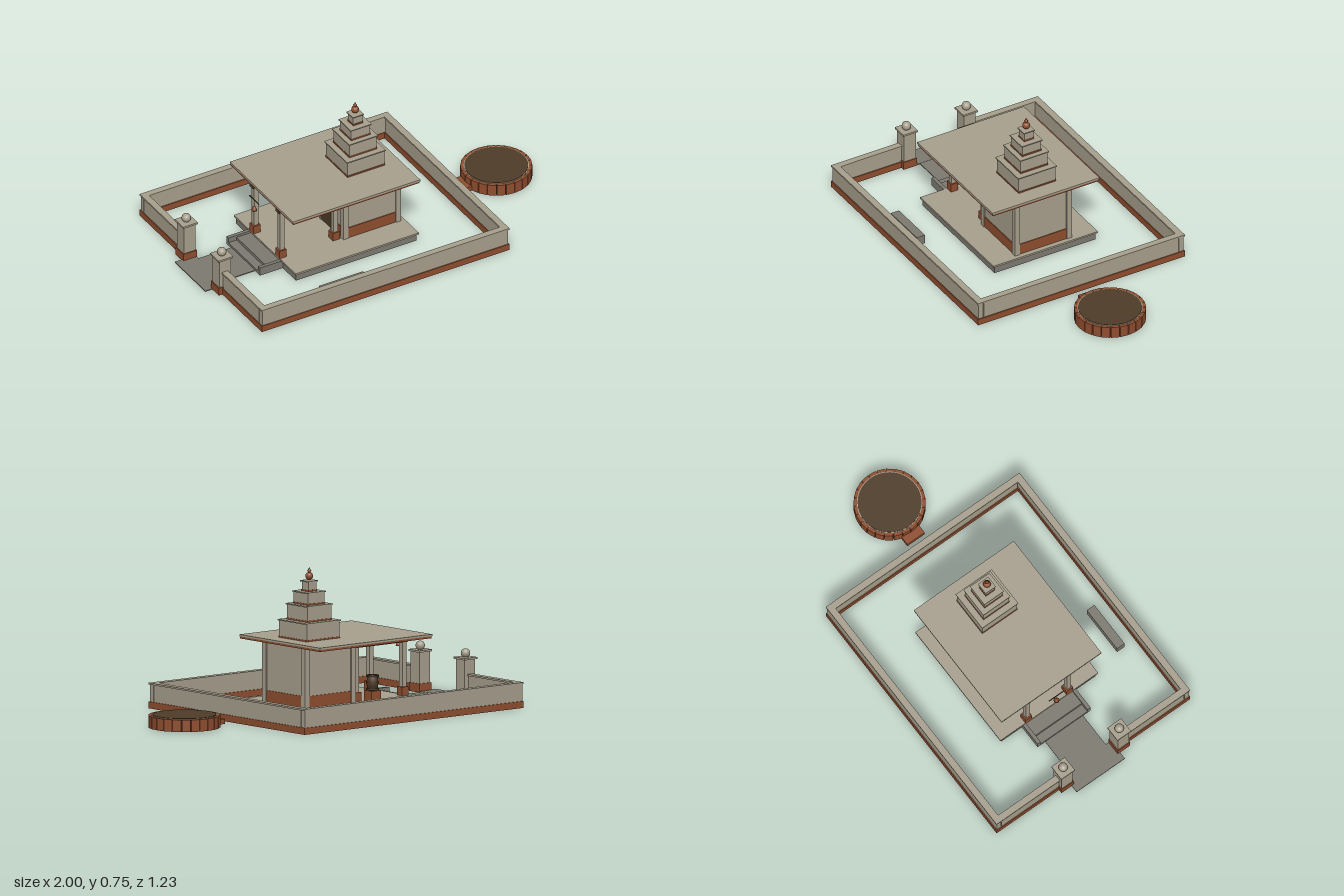
import * as THREE from 'three';

const mat = (name, color, side = THREE.FrontSide) => {
  const m = new THREE.MeshStandardMaterial({ color, side });
  m.name = name;
  return m;
};

export function createModel() {
  const stone = mat('pale stone', 0xa8a08e);
  const paving = mat('grey paving', 0x7d7a70);
  const clay = mat('red clay', 0x8f4e2f);
  const wood = mat('dark wood', 0x4e3c29);
  const root = new THREE.Group();
  root.name = 'shrineCourtyard';

  const add = (name, geo, m, x = 0, y = 0, z = 0, parent = root) => {
    const mesh = new THREE.Mesh(geo, m);
    mesh.name = name;
    mesh.position.set(x, y, z);
    parent.add(mesh);
    return mesh;
  };
  // box given by its lower and upper limits on each axis
  const box = (name, m, x0, x1, y0, y1, z0, z1, parent = root) =>
    add(name, new THREE.BoxGeometry(x1 - x0, y1 - y0, z1 - z0), m,
      (x0 + x1) / 2, (y0 + y1) / 2, (z0 + z1) / 2, parent);
  // box centred on x, z
  const block = (name, m, x, z, w, d, y0, y1, parent = root) =>
    box(name, m, x - w / 2, x + w / 2, y0, y1, z - d / 2, z + d / 2, parent);
  const lathe = (name, pts, m, x, y, z, seg = 20, parent = root) =>
    add(name, new THREE.LatheGeometry(pts.map(p => new THREE.Vector2(...p)), seg), m, x, y, z, parent);

  // courtyard wall: clay footing, stone body, overhanging coping
  const wall = (name, x0, x1, z0, z1) => {
    const g = new THREE.Group();
    g.name = name;
    root.add(g);
    const e = 0.005;
    box('footing', clay, x0 - e, x1 + e, 0, 0.035, z0 - e, z1 + e, g);
    box('wallBody', stone, x0, x1, 0.035, 0.123, z0, z1, g);
    box('coping', stone, x0 - e, x1 + e, 0.123, 0.132, z0 - e, z1 + e, g);
  };
  wall('frontWall', -0.932, 0.526, 0.583, 0.609);
  wall('backWall', -0.932, 0.526, -0.609, -0.583);
  wall('leftWall', 0.5, 0.526, -0.578, 0.578);
  wall('gateWallFront', -0.932, -0.906, 0.214, 0.578);
  wall('gateWallBack', -0.932, -0.906, -0.578, -0.214);

  // gate posts with ball tops
  for (const s of [-1, 1]) {
    const g = new THREE.Group();
    g.name = 'gatePost';
    root.add(g);
    const x = -0.918, z = s * 0.178;
    block('postFooting', clay, x, z, 0.08, 0.08, 0, 0.045, g);
    block('postShaft', stone, x, z, 0.07, 0.07, 0.045, 0.206, g);
    block('postCap', stone, x, z, 0.086, 0.086, 0.206, 0.216, g);
    add('postBall', new THREE.SphereGeometry(0.024, 20, 14), stone, x, 0.236, z, g);
  }

  // paving, bench
  box('gateSlab', paving, -1, -0.88, 0, 0.006, -0.153, 0.153);
  box('path', paving, -0.88, -0.68, 0, 0.005, -0.12, 0.12);
  box('bench', paving, -0.51, -0.25, 0, 0.05, 0.465, 0.513);

  // plinth and entrance steps
  box('plinthBase', paving, -0.55, 0.165, 0, 0.04, -0.3, 0.3);
  box('plinthSlab', stone, -0.558, 0.173, 0.04, 0.05, -0.31, 0.31);
  box('lowerStep', paving, -0.685, -0.637, 0, 0.017, -0.148, 0.148);
  box('upperStep', paving, -0.637, -0.55, 0, 0.034, -0.148, 0.148);
  for (const s of [-1, 1]) block('stepCheek', paving, -0.6175, s * 0.158, 0.135, 0.02, 0, 0.046);

  // sanctum with corner pilasters and a door towards the porch
  box('sanctumWalls', stone, -0.183, 0.143, 0.05, 0.36, -0.161, 0.161);
  box('sanctumBand', clay, -0.187, 0.147, 0.05, 0.11, -0.165, 0.165);
  for (const x of [-0.176, 0.136])
    for (const z of [-0.154, 0.154]) block('pilaster', stone, x, z, 0.03, 0.03, 0.05, 0.36);
  box('door', wood, -0.192, -0.184, 0.05, 0.26, -0.05, 0.05);
  for (const s of [-1, 1]) block('doorJamb', stone, -0.189, s * 0.056, 0.016, 0.012, 0.05, 0.26);
  box('doorLintel', stone, -0.197, -0.181, 0.26, 0.274, -0.065, 0.065);

  // porch columns and beams
  for (const z of [-0.13, 0.13]) {
    for (const x of [-0.538, -0.222]) {
      block('columnBase', clay, x, z, 0.042, 0.042, 0.05, 0.095);
      block('columnShaft', stone, x, z, 0.026, 0.026, 0.095, 0.325);
    }
    block('porchBeam', wood, -0.38, z, 0.36, 0.034, 0.325, 0.342);
    block('beamPacking', stone, -0.38, z, 0.35, 0.026, 0.342, 0.36);
  }

  // flat roof
  box('roofEdge', clay, -0.574, 0.174, 0.36, 0.371, -0.314, 0.314);
  box('roofSlab', stone, -0.577, 0.177, 0.371, 0.381, -0.317, 0.317);

  // stepped tower: half width, bottom, top
  const tx = -0.022;
  for (const [h, y0, y1] of [[0.109, 0.381, 0.475], [0.08, 0.475, 0.558], [0.056, 0.558, 0.623], [0.027, 0.623, 0.677]]) {
    block('towerBand', clay, tx, 0, 2 * h + 0.004, 2 * h + 0.004, y0, y0 + 0.008);
    block('towerTier', stone, tx, 0, 2 * h, 2 * h, y0 + 0.008, y1 - 0.006);
    block('towerCornice', stone, tx, 0, 2 * h + 0.011, 2 * h + 0.011, y1 - 0.006, y1);
  }
  add('finialBall', new THREE.SphereGeometry(0.02, 20, 14), clay, tx, 0.699, 0);
  lathe('finialTip', [[0, 0], [0.007, 0], [0.006, 0.006], [0.011, 0.011], [0.007, 0.016], [0, 0.031]], clay, tx, 0.714, 0);

  // bell hanging before the porch
  add('bellBar', new THREE.CylinderGeometry(0.003, 0.003, 0.095, 8), wood, -0.62, 0.347, 0).rotation.x = Math.PI / 2;
  add('bellCord', new THREE.CylinderGeometry(0.001, 0.001, 0.04, 6), wood, -0.62, 0.327, 0);
  lathe('bell', [[0, 0], [0.015, 0], [0.012, 0.008], [0.008, 0.02], [0, 0.026]], clay, -0.62, 0.283, 0);

  // barrel drum on a clay stand
  const dx = -0.267, dz = -0.21;
  block('drumStand', clay, dx, dz, 0.062, 0.062, 0.05, 0.11);
  lathe('drum', [[0, 0], [0.026, 0], [0.031, 0.04], [0.026, 0.08], [0, 0.08]], wood, dx, 0.11, dz, 18);
  for (const y of [0.116, 0.15, 0.184])
    add('drumHoop', new THREE.CylinderGeometry(0.034, 0.034, 0.008, 18), wood, dx, y, dz);

  // round brick well with a ring of bricks, rim and dark cover
  const well = new THREE.Group();
  well.name = 'well';
  well.position.x = 0.815;
  root.add(well);
  add('wellCore', new THREE.CylinderGeometry(0.172, 0.172, 0.06, 48), clay, 0, 0.03, 0, well);
  const n = 24;
  for (let i = 0; i < n; i++) {
    const a = (i + 0.5) / n * Math.PI * 2;
    const brick = add('wellBrick', new THREE.BoxGeometry(0.03, 0.062, 0.044), clay,
      Math.cos(a) * 0.168, 0.031, -Math.sin(a) * 0.168, well);
    brick.rotation.y = a;
  }
  add('wellRim', new THREE.CylinderGeometry(0.167, 0.167, 0.003, 48), stone, 0, 0.0625, 0, well);
  add('wellCover', new THREE.CylinderGeometry(0.163, 0.163, 0.006, 48), wood, 0, 0.063, 0, well);
  add('wellFloor', new THREE.CylinderGeometry(0.165, 0.165, 0.003, 48), paving, 0, 0.001, 0, well);
  box('wellStep', clay, 0.588, 0.65, 0, 0.026, -0.055, 0.055);

  return root;
}
